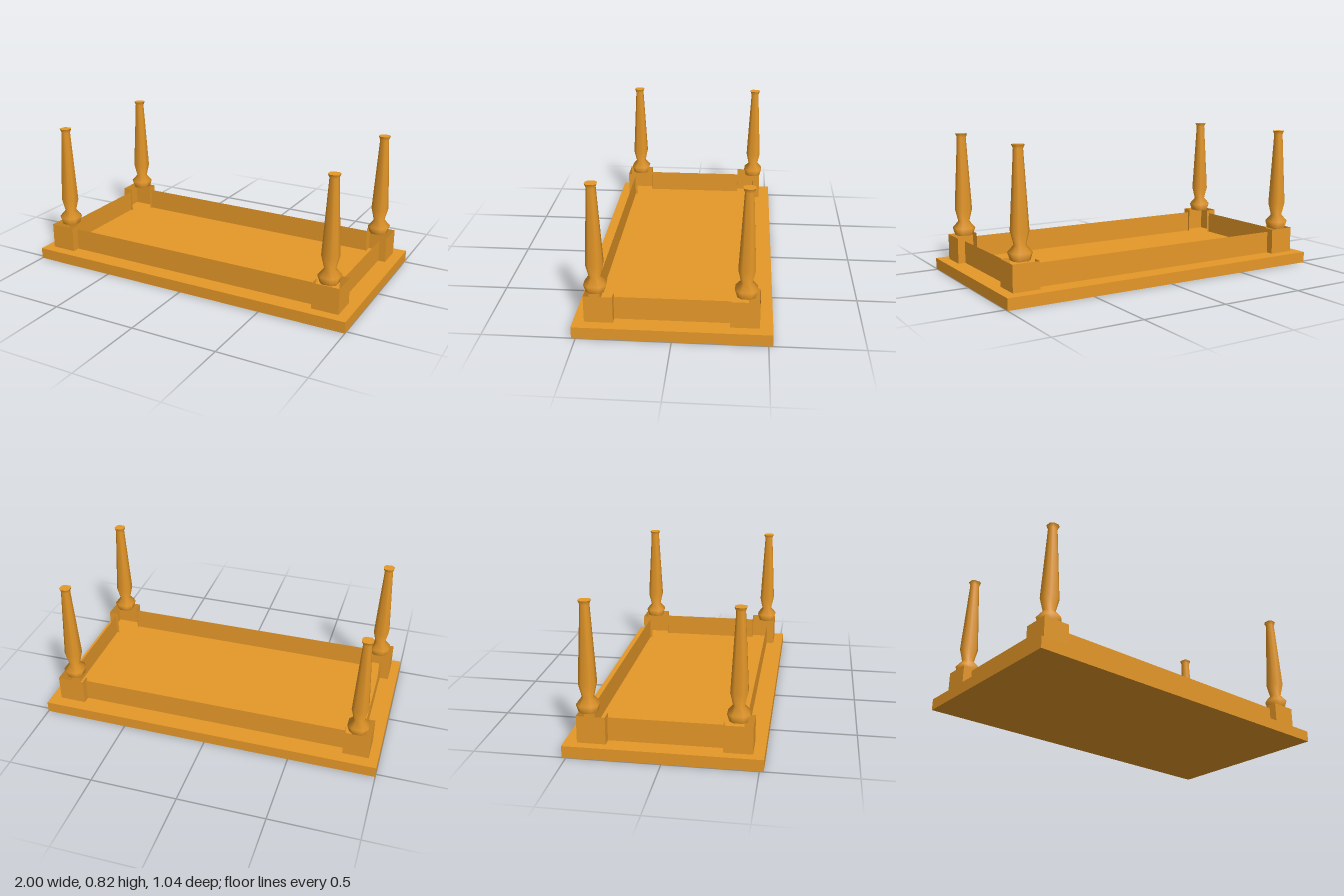
import * as THREE from 'three';

const wood = new THREE.MeshStandardMaterial({ color: 0xe69828, side: THREE.DoubleSide });
wood.name = 'warm wood';

const PLATE_TOP = 0.065, APRON_TOP = 0.195, BLOCK_TOP = 0.215;

// Upright thin sheet following a path of [x, z] points
function wall(name, path, top) {
  const group = new THREE.Group();
  group.name = name;
  for (let i = 0; i < path.length - 1; i++) {
    const [x0, z0] = path[i], [x1, z1] = path[i + 1];
    const geo = new THREE.PlaneGeometry(Math.hypot(x1 - x0, z1 - z0), top - PLATE_TOP);
    const mesh = new THREE.Mesh(geo, wood);
    mesh.name = name + 'Panel';
    mesh.position.set((x0 + x1) / 2, (top + PLATE_TOP) / 2, (z0 + z1) / 2);
    mesh.rotation.y = -Math.atan2(z1 - z0, x1 - x0);
    group.add(mesh);
  }
  return group;
}

// Widen the four main sides of an octagon so it becomes a square with cut corners
function cutSquare(geo, a, b) {
  const p = geo.attributes.position;
  for (let i = 0; i < p.count; i++) {
    const v = [p.getX(i), p.getY(i), p.getZ(i)];
    v[Math.abs(v[a]) < Math.abs(v[b]) ? a : b] *= 1.28;
    p.setXYZ(i, ...v);
  }
  return geo;
}

// Turned eight-sided leg, given as flat-to-centre radius and height
const K = 1 / Math.cos(Math.PI / 8);
const profile = [
  [0.047, 0.215], [0.059, 0.258], [0.029, 0.297], [0.045, 0.371], [0.023, 0.795], [0.031, 0.817],
].map(([r, y]) => new THREE.Vector2(r * K, y));
const shaftGeo = cutSquare(new THREE.LatheGeometry(profile, 8, Math.PI / 8), 0, 2);
const tipGeo = cutSquare(new THREE.CircleGeometry(0.031 * K, 8, Math.PI / 8), 0, 1);

function turnedLeg(x, z) {
  const group = new THREE.Group();
  group.name = 'leg';
  const shaft = new THREE.Mesh(shaftGeo, wood);
  shaft.name = 'legShaft';
  const tip = new THREE.Mesh(tipGeo, wood);
  tip.name = 'legTip';
  tip.rotation.x = -Math.PI / 2;
  tip.position.y = 0.817;
  group.add(shaft, tip);
  group.position.set(x, 0, z);
  return group;
}

export function createModel() {
  const model = new THREE.Group();
  model.name = 'upturnedTable';

  // Table top lying on the ground
  const top = new THREE.Mesh(new THREE.BoxGeometry(2, PLATE_TOP, 1.045), wood);
  top.name = 'tableTop';
  top.position.y = PLATE_TOP / 2;
  model.add(top);

  // Per side: block outer face, block inner face, apron line, end of the block return
  const X = { '-1': [-0.947, -0.797, -0.896, -0.882], 1: [0.939, 0.784, 0.896, 0.882] };
  const Z = { '-1': [-0.453, -0.3, -0.409, -0.395], 1: [0.463, 0.31, 0.418, 0.404] };

  // Hollow corner blocks: two outer faces with returns reaching just past the aprons
  for (const sx of [-1, 1]) {
    for (const sz of [-1, 1]) {
      const [xo, xi, , xr] = X[sx], [zo, zi, , zr] = Z[sz];
      model.add(wall('cornerBlock', [[xi, zr], [xi, zo], [xo, zo], [xo, zi], [xr, zi]], BLOCK_TOP));
    }
  }

  // Aprons between the corner blocks
  for (const s of [-1, 1]) {
    model.add(wall('longApron', [[X[-1][1], Z[s][2]], [X[1][1], Z[s][2]]], APRON_TOP));
    model.add(wall('shortApron', [[X[s][2], Z[-1][1]], [X[s][2], Z[1][1]]], APRON_TOP));
  }

  // Four legs pointing up
  for (const [x, z] of [[-0.867, 0.382], [-0.867, -0.406], [0.861, 0.409], [0.861, -0.379]]) {
    model.add(turnedLeg(x, z));
  }
  return model;
}
